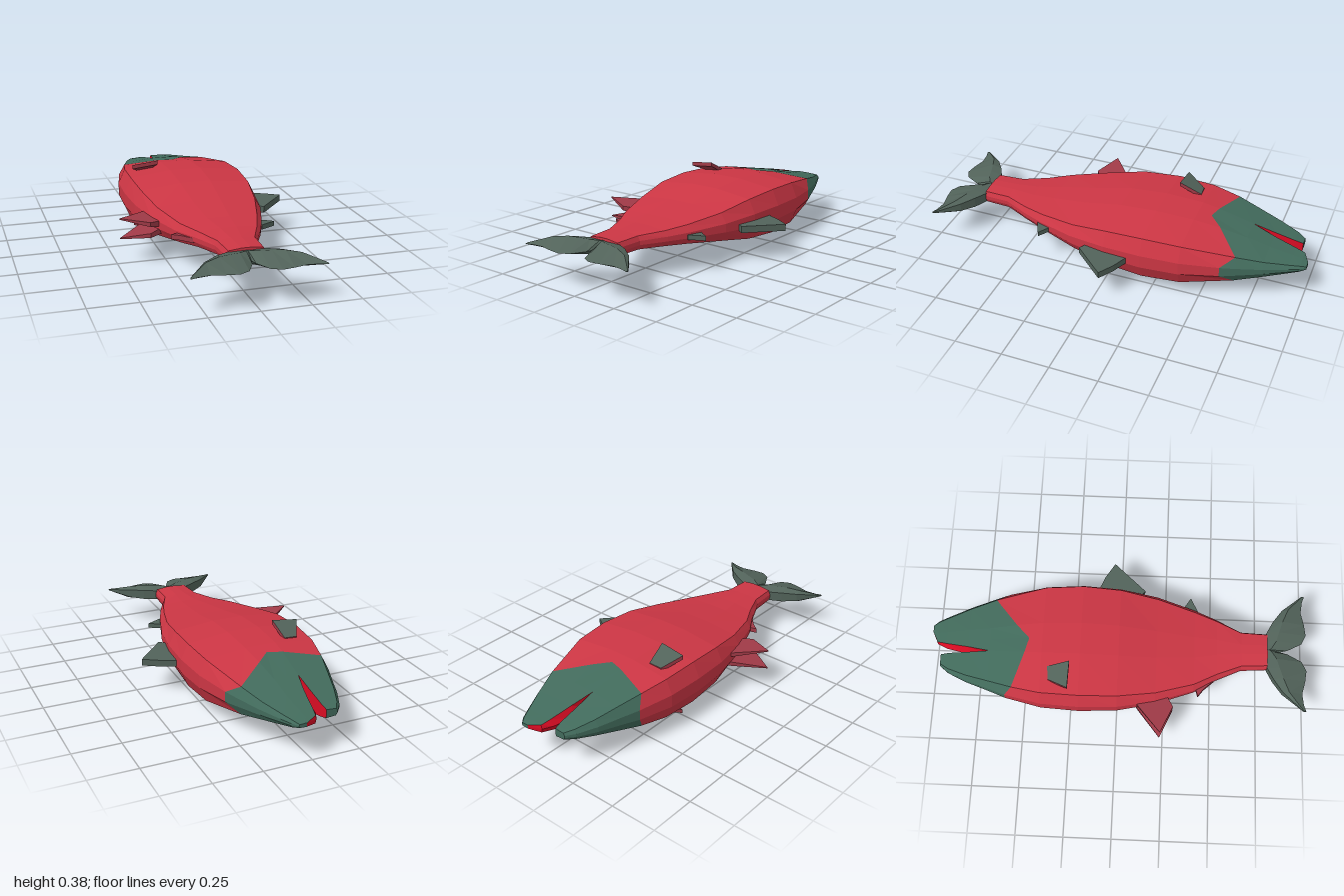
import * as THREE from 'three';

const material = (name, color) => Object.assign(new THREE.MeshStandardMaterial({ color }), { name });
const MID = 0.195; // height of the fish's centre plane

// Flat-faced mesh from a list of corner points, three per triangle
function facets(name, points, mat) {
  const geo = new THREE.BufferGeometry();
  geo.setAttribute('position', new THREE.Float32BufferAttribute(points.flat(), 3));
  geo.computeVertexNormals();
  const mesh = new THREE.Mesh(geo, mat);
  mesh.name = name;
  return mesh;
}

// Skin closed rings of points; keep(j) selects which strips are made
function skin(rings, { caps = '', keep = () => true } = {}) {
  const out = [];
  const n = rings[0].length;
  for (let i = 0; i < rings.length - 1; i++) {
    for (let j = 0; j < n; j++) {
      if (!keep(j)) continue;
      const k = (j + 1) % n;
      const [a, b, c, d] = [rings[i][j], rings[i][k], rings[i + 1][k], rings[i + 1][j]];
      out.push(a, b, c, a, c, d);
    }
  }
  const first = rings[0], last = rings[rings.length - 1];
  for (let j = 1; j < n - 1; j++) {
    if (caps.includes('s')) out.push(first[0], first[j + 1], first[j]);
    if (caps.includes('e')) out.push(last[0], last[j], last[j + 1]);
  }
  return out;
}

// Slab over an [x, z] outline between two height functions: { top, bottom, rim }
function slab(outline, topY, bottomY) {
  let area = 0;
  outline.forEach(([x, z], i) => {
    const [x2, z2] = outline[(i + 1) % outline.length];
    area += z * x2 - x * z2;
  });
  const pts = area < 0 ? [...outline].reverse() : outline;
  const t = pts.map(([x, z]) => [x, topY(x, z), z]);
  const b = pts.map(([x, z]) => [x, bottomY(x, z), z]);
  const top = [], bottom = [], rim = [];
  pts.forEach((_, i) => {
    const k = (i + 1) % pts.length;
    rim.push(b[i], b[k], t[k], b[i], t[k], t[i]);
    if (i > 0 && k > 0) {
      top.push(t[0], t[i], t[k]);
      bottom.push(b[0], b[k], b[i]);
    }
  });
  return { top, bottom, rim };
}

// Body stations: z, belly x, back x, half thickness
const STATIONS = [
  [0.79, -0.1, 0.095, 0.04], [0.65, -0.11, 0.1, 0.042], [0.52, -0.17, 0.165, 0.048],
  [0.4, -0.24, 0.215, 0.06], [0.2, -0.31, 0.28, 0.09], [0, -0.35, 0.315, 0.13],
  [-0.2, -0.36, 0.325, 0.145], [-0.4, -0.35, 0.31, 0.137], [-0.6, -0.305, 0.26, 0.108],
  [-0.68, -0.275, 0.23, 0.085],
];
// Cross-section columns: position across, share of thickness, z of the head's colour edge
const COLUMNS = [
  [-1, 0.25, -0.59], [-0.89, 0.82, -0.55], [-0.25, 1, -0.49], [0, 1, -0.47],
  [0.25, 1, -0.54], [0.89, 0.82, -0.665], [1, 0.25, -0.6],
];

function station(z) {
  let i = 0;
  while (i < STATIONS.length - 2 && z < STATIONS[i + 1][0]) i++;
  const a = STATIONS[i], b = STATIONS[i + 1];
  const t = (z - a[0]) / (b[0] - a[0]);
  return a.map((v, k) => v + (b[k] - v) * t);
}

// Full ring; zOf gives each column its own z
function bodyRing(zOf) {
  const side = (s) => COLUMNS.map((col) => {
    const z = zOf(col);
    const [, l, r, h] = station(z);
    return [(l + r) / 2 + col[0] * (r - l) / 2, MID + s * h * col[1], z];
  });
  return [...side(1), ...side(-1).reverse()];
}

// Jaw ring from a to b in x, using a run of the columns
function jawRing(cols, z, a, b, h) {
  const u0 = cols[0][0], u1 = cols[cols.length - 1][0];
  const side = (s) => cols.map(([u, v]) => [a + (b - a) * (u - u0) / (u1 - u0), MID + s * h * v, z]);
  return [side(1), side(-1).reverse()];
}

export function createModel() {
  const red = material('body red', 0xcc3644);
  const green = material('head green', 0x426b5c);
  const grey = material('fin grey green', 0x52635a);
  const rose = material('lower fin red', 0xa03a47);
  const mouthRed = material('mouth red', 0xdc0c24);
  const fish = new THREE.Group();
  fish.name = 'fish';

  // Body and back of the head share the stepped colour edge
  const edge = bodyRing((col) => col[2]);
  const bodyRings = STATIONS.slice(0, 8).map(([z]) => bodyRing(() => z));
  fish.add(facets('body', skin([...bodyRings, edge], { caps: 's' }), red));
  fish.add(facets('head', skin([edge, bodyRing(() => -0.68)]), green));

  // Upper jaw, with a lining that bulges into the mouth
  const upperCols = COLUMNS.slice(2);
  const upper = [
    [-0.68, -0.0856, 0.23, 0.085, 0], [-0.8, -0.058, 0.182, 0.056, 0.022],
    [-0.92, -0.036, 0.125, 0.031, 0.018], [-0.97, -0.025, 0.1, 0.021, 0.005],
    [-1, 0.035, 0.075, 0.01, 0],
  ].map(([z, a, b, h, bulge]) => [...jawRing(upperCols, z, a, b, h).flat(), [a - bulge, MID, z]]);
  fish.add(facets('upperJaw', skin(upper, { caps: 'e', keep: (j) => j < 9 }), green));
  fish.add(facets('upperMouthLining', skin(upper, { keep: (j) => j >= 9 }), mouthRed));

  // Lower jaw
  const lowerCols = COLUMNS.slice(0, 3);
  const lower = [
    [-0.68, -0.275, -0.0856, 0.085], [-0.8, -0.235, -0.088, 0.056],
    [-0.9, -0.19, -0.09, 0.034], [-0.945, -0.155, -0.095, 0.022],
  ].map(([z, a, b, h]) => {
    const [t, u] = jawRing(lowerCols, z, a, b, h);
    return [...t, [b, MID, z], ...u];
  });
  const inner = (j) => j === 2 || j === 3;
  fish.add(facets('lowerJaw', skin(lower, { caps: 'e', keep: (j) => !inner(j) }), green));
  fish.add(facets('lowerMouthLining', skin(lower, { keep: inner }), mouthRed));

  // Forked tail: lens sections across x (x, leading z, trailing z, half thickness)
  const half = [
    [0.325, 0.98, 0.995, 0.004], [0.29, 0.94, 0.983, 0.015], [0.23, 0.87, 0.975, 0.034],
    [0.16, 0.82, 0.992, 0.042], [0.1, 0.788, 1, 0.04], [0.05, 0.778, 0.975, 0.037],
    [0.01, 0.775, 0.9, 0.033],
  ];
  const sections = [...half.map(([x, ...r]) => [-x, ...r]), [0, 0.775, 0.86, 0.033], ...[...half].reverse()];
  const tail = sections.map(([x, a, b, h]) => {
    const m = a + (b - a) * 0.3;
    return [[x, MID + h * 0.65, a], [x, MID + h, m], [x, MID, b], [x, MID - h, m], [x, MID - h * 0.65, a]];
  });
  fish.add(facets('tailFin', skin(tail, { caps: 'se' }), grey));

  // Flat fins along the back and the belly
  const flatFin = (name, outline, y0, y1, mat) => {
    const { top, bottom, rim } = slab(outline, () => y1, () => y0);
    fish.add(facets(name, [...top, ...bottom, ...rim], mat));
  };
  flatFin('dorsalFin', [[0.29, -0.14], [0.33, -0.12], [0.4, -0.09], [0.48, -0.04], [0.325, 0.13], [0.28, 0.1]], 0.16, 0.195, grey);
  flatFin('smallBackFin', [[0.19, 0.33], [0.235, 0.345], [0.29, 0.38], [0.21, 0.42], [0.18, 0.41]], 0.175, 0.2, grey);
  flatFin('analFin', [[-0.18, 0.4], [-0.265, 0.425], [-0.225, 0.455], [-0.175, 0.51], [-0.13, 0.5]], 0.175, 0.2, rose);

  for (const s of [1, -1]) {
    const side = s > 0 ? 'upper' : 'under';

    // Pelvic fins, splayed apart and thinning to the tip
    const belly = (x) => 0.183 + s * (0.02 + (-0.28 - x) * 0.16);
    const thick = (x) => 0.003 + (x + 0.48) * 0.06;
    const pelvic = slab([[-0.3, 0.09], [-0.335, 0.11], [-0.48, 0.23], [-0.335, 0.295], [-0.25, 0.25]],
      (x) => belly(x) + thick(x), (x) => belly(x) - thick(x));
    fish.add(facets(side + 'PelvicFin', Object.values(pelvic).flat(), rose));

    // Pectoral fins, leaning out toward the tail: grey outside, red inside
    const outer = (x, z) => MID + s * (0.183 + (z + 0.25) * 0.48 + (x + 0.23) * 0.1);
    const under = (x, z) => outer(x, z) - s * 0.022;
    const outline = [[-0.3, -0.255], [-0.245, -0.36], [-0.175, -0.365], [-0.16, -0.25]];
    const pec = s > 0 ? slab(outline, outer, under) : slab(outline, under, outer);
    fish.add(facets(side + 'PectoralFin', s > 0 ? pec.top : pec.bottom, grey));
    fish.add(facets(side + 'PectoralFinInside', [...(s > 0 ? pec.bottom : pec.top), ...pec.rim], rose));
  }
  return fish;
}
